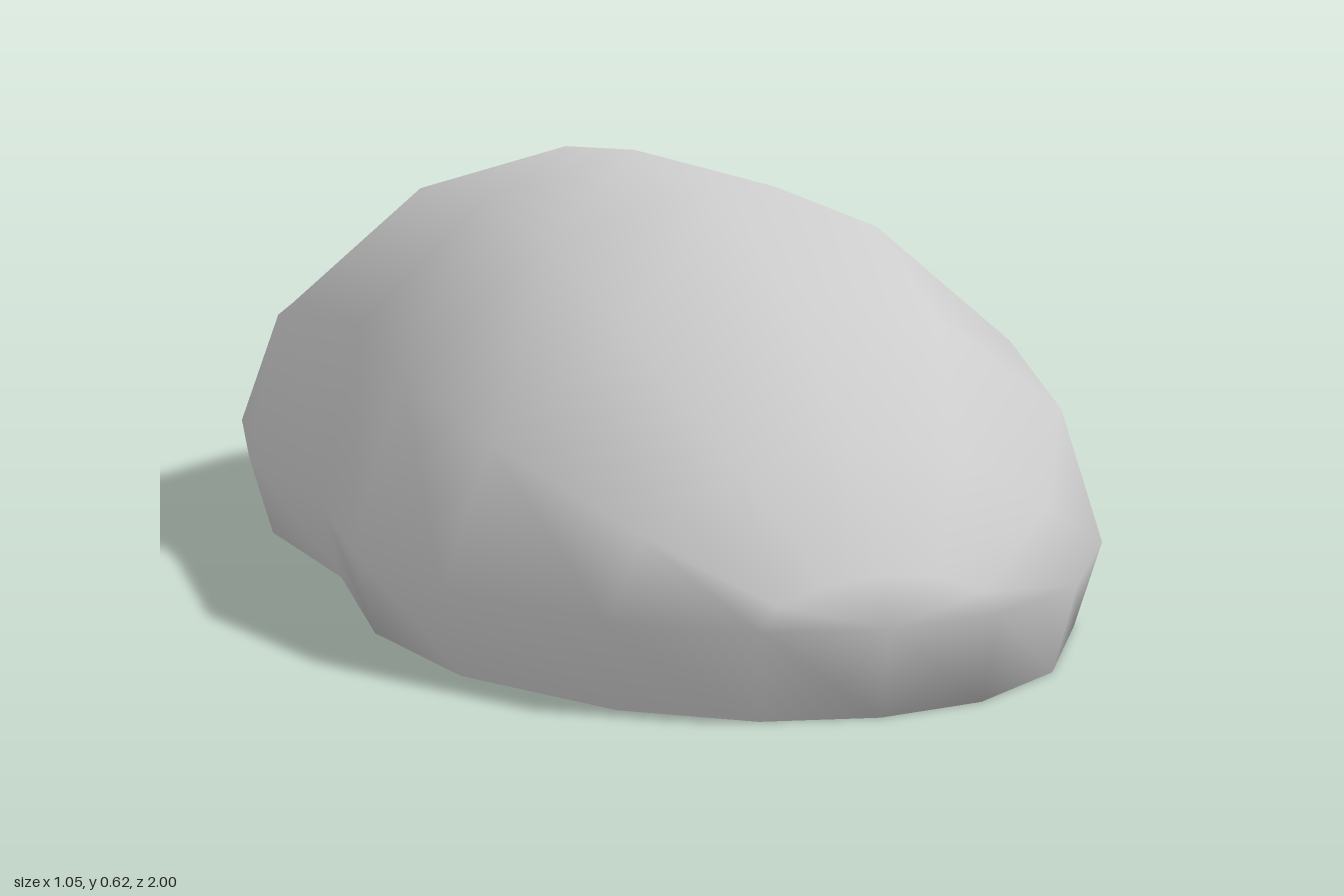
import * as THREE from 'three';
import { mergeVertices } from 'three/addons/utils/BufferGeometryUtils.js';

// Stations along the length: z, half width, ridge height
const STATIONS = [
  [1, 0, 0.12], [0.97, 0.16, 0.18], [0.86, 0.32, 0.325], [0.63, 0.47, 0.49],
  [0.36, 0.525, 0.595], [0, 0.488, 0.62], [-0.35, 0.52, 0.595],
  [-0.69, 0.463, 0.463], [-0.89, 0.32, 0.33], [-1, 0.1, 0.165], [-1, 0, 0.165],
];

// One arch from the +x rim over the ridge to the -x rim
function arch([z, w, h]) {
  const b = z < -0.95 ? 0.15 : 0.12;
  const rimZ = z * (z > 0 ? 0.97 : 0.98);
  const half = [
    [0.935 * w, 0, rimZ],
    [w, b, z],
    [0.86 * w, b + (h - b) * 0.51, z],
    [0.46 * w, b + (h - b) * 0.875, z],
  ];
  const mirrored = half.map(([x, y, pz]) => [-x, y, pz]).reverse();
  return [...half, [0, h, z], ...mirrored];
}

export function createModel() {
  const stone = new THREE.MeshStandardMaterial({ color: 0xcccccc, side: THREE.DoubleSide });
  stone.name = 'paleGrey';
  const rings = STATIONS.map(arch);
  const last = rings[0].length - 1;
  const positions = [];
  const tri = (a, b, c) => {
    const area = new THREE.Triangle(...[a, b, c].map((p) => new THREE.Vector3(...p))).getArea();
    if (area > 1e-7) positions.push(...a, ...b, ...c);
  };

  // Domed shell
  for (let i = 0; i < rings.length - 1; i++) {
    for (let j = 0; j < last; j++) {
      const a = rings[i][j], b = rings[i][j + 1];
      const c = rings[i + 1][j], d = rings[i + 1][j + 1];
      tri(a, c, b);
      tri(b, c, d);
    }
  }

  // Underside, cut back from the rim along part of one side
  const near = rings.slice(0, -1).map((r) => r[0]);
  const far = rings.slice(6, -1).reverse().map((r) => r[last]);
  const outline = [...near, ...far, [-0.4, 0, 0.02], rings[4][last], [-0.41, 0, 0.46], [-0.1, 0, 0.72]];
  const flat = outline.map(([x, , z]) => new THREE.Vector2(x, z));
  for (const [p, q, r] of THREE.ShapeUtils.triangulateShape(flat, [])) {
    const facesDown = THREE.ShapeUtils.area([flat[p], flat[q], flat[r]]) > 0;
    tri(outline[p], outline[facesDown ? q : r], outline[facesDown ? r : q]);
  }

  // Shared vertices give smooth shading across the rim
  let geometry = new THREE.BufferGeometry();
  geometry.setAttribute('position', new THREE.Float32BufferAttribute(positions, 3));
  geometry = mergeVertices(geometry, 1e-4);
  geometry.computeVertexNormals();

  const body = new THREE.Mesh(geometry, stone);
  body.name = 'roundedStone';
  const group = new THREE.Group();
  group.name = 'stone';
  group.add(body);
  return group;
}
